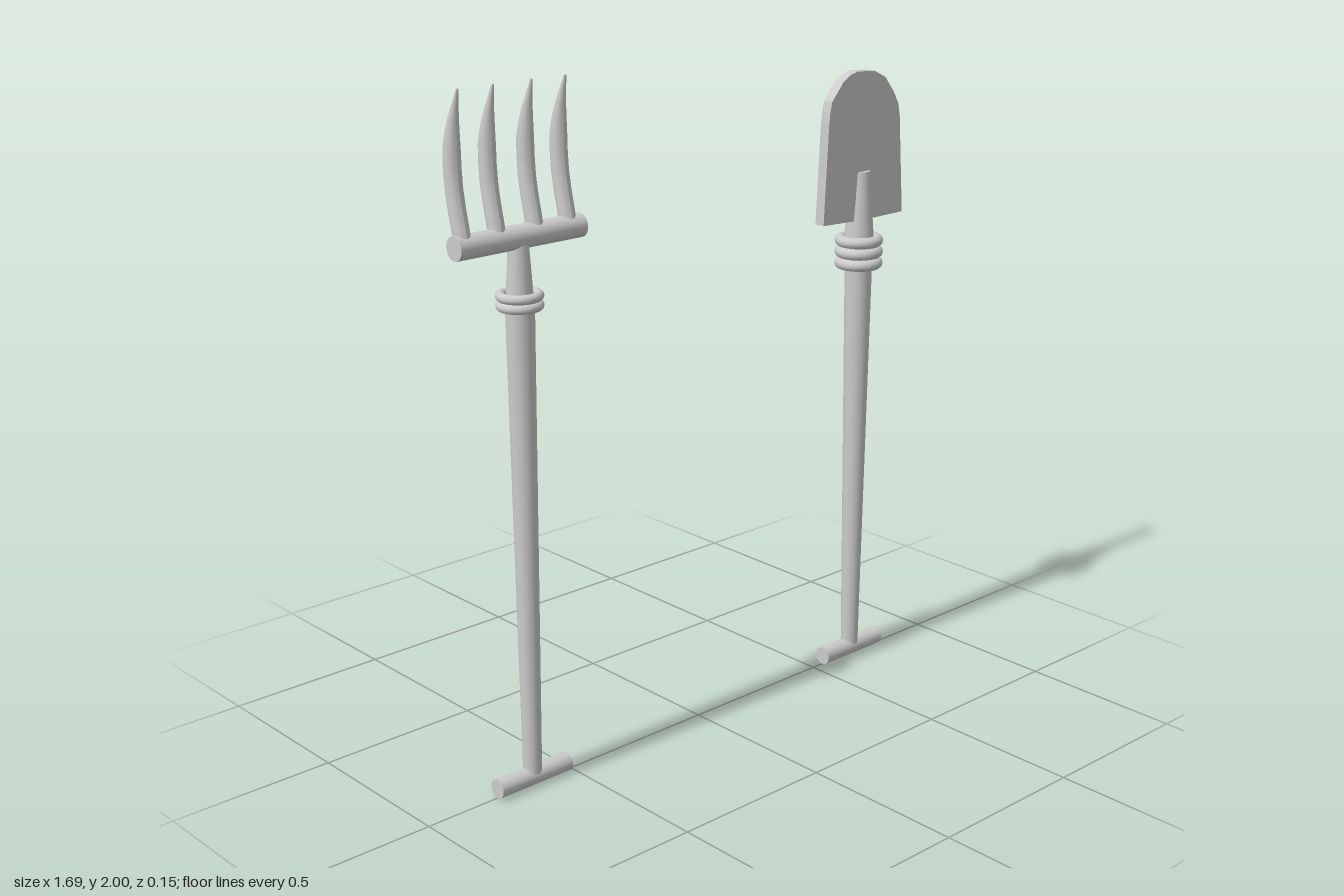
import * as THREE from 'three';

const material = new THREE.MeshStandardMaterial({ color: 0xcccccc });

function add(group, name, geometry, x = 0, y = 0, z = 0) {
  const mesh = new THREE.Mesh(geometry, material);
  mesh.name = name;
  mesh.position.set(x, y, z);
  group.add(mesh);
  return mesh;
}

// Upright tapered round part from y0 to y1
function taper(group, name, y0, y1, r0, r1) {
  return add(group, name, new THREE.CylinderGeometry(r1, r0, y1 - y0, 24), 0, (y0 + y1) / 2);
}

// Round bar lying along x
function bar(group, name, length, radius, y, x = 0) {
  const geometry = new THREE.CylinderGeometry(radius, radius, length, 24).rotateZ(Math.PI / 2);
  return add(group, name, geometry, x, y);
}

// Stack of collar rings, starting at height y
function rings(group, count, y, step, outer, tube) {
  for (let i = 0; i < count; i++) {
    const geometry = new THREE.TorusGeometry(outer - tube, tube, 12, 32).rotateX(Math.PI / 2);
    add(group, 'collarRing', geometry, 0, y + i * step);
  }
}

// Pointed tine: a turned profile whose rows are shifted in z to bow it backwards
function tineGeometry() {
  const rows = [ // height, radius, z offset
    [1.6, 0.024, 0], [1.64, 0.024, -0.008], [1.69, 0.024, -0.02], [1.74, 0.024, -0.029],
    [1.79, 0.024, -0.033], [1.84, 0.0235, -0.033], [1.88, 0.02, -0.029],
    [1.92, 0.015, -0.022], [1.96, 0.009, -0.011], [1.995, 0.004, -0.001], [2.0, 0, 0],
  ];
  const geometry = new THREE.LatheGeometry(rows.map(([y, r]) => new THREE.Vector2(r, y)), 16);
  const p = geometry.attributes.position;
  for (let i = 0; i < p.count; i++) p.setZ(i, p.getZ(i) + rows[i % rows.length][2]);
  geometry.computeVertexNormals();
  return geometry;
}

function createFork() {
  const fork = new THREE.Group();
  fork.name = 'gardenFork';
  bar(fork, 'handleBar', 0.25, 0.028, 0.028);
  taper(fork, 'shaft', 0.04, 1.41, 0.027, 0.04);
  rings(fork, 2, 1.408, 0.026, 0.065, 0.0135);
  taper(fork, 'neck', 1.4, 1.59, 0.039, 0.027);
  bar(fork, 'tineBar', 0.416, 0.033, 1.592, 0.002);
  const tine = tineGeometry();
  for (const x of [-0.178, -0.067, 0.057, 0.168]) add(fork, 'tine', tine, x);
  fork.position.x = -0.639;
  return fork;
}

function createSpade() {
  const spade = new THREE.Group();
  spade.name = 'spade';
  bar(spade, 'handleBar', 0.248, 0.028, 0.028);
  taper(spade, 'shaft', 0.04, 1.31, 0.027, 0.042);
  rings(spade, 3, 1.307, 0.035, 0.074, 0.0175);
  taper(spade, 'socket', 1.29, 1.59, 0.052, 0.029);

  // Flat blade with a rounded end
  const outline = [
    [-0.17, 1.447], [0, 1.44], [0.177, 1.441], [0.154, 1.747], [0.146, 1.78], [0.126, 1.815],
    [0.085, 1.866], [0.036, 1.889], [-0.037, 1.894], [-0.068, 1.886], [-0.096, 1.87],
    [-0.143, 1.815], [-0.15, 1.785], [-0.154, 1.75],
  ].map(([x, y]) => new THREE.Vector2(x, y));
  const blade = new THREE.ExtrudeGeometry(new THREE.Shape(outline), { depth: 0.034, bevelEnabled: false });
  add(spade, 'blade', blade, 0, 0, -0.021);
  spade.position.x = 0.665;
  return spade;
}

export function createModel() {
  const model = new THREE.Group();
  model.name = 'gardenTools';
  model.add(createFork(), createSpade());
  return model;
}
